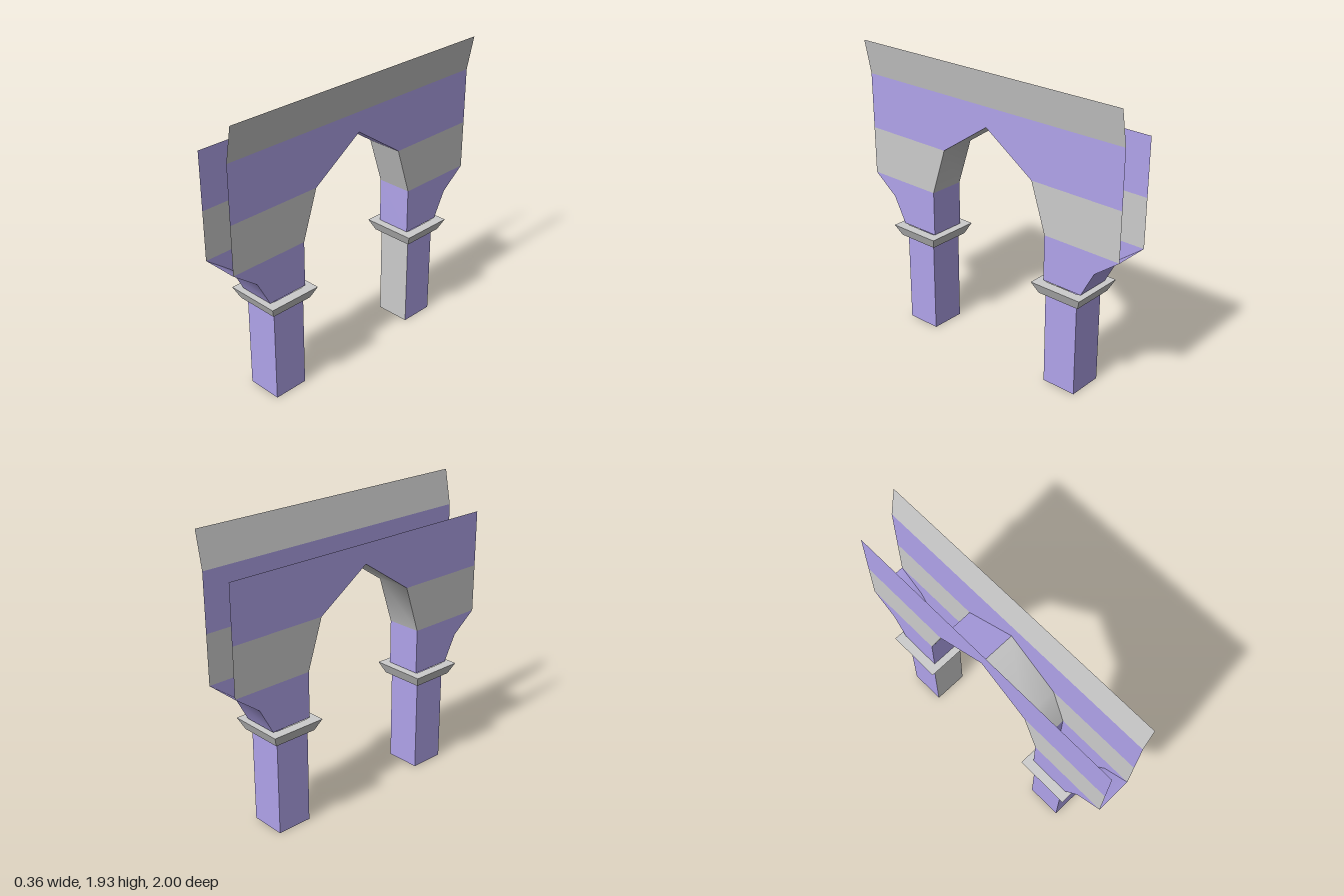
import * as THREE from 'three';

const HALF = 0.12;       // half the thickness of the wall
const PIER_Z = 0.595;    // distance of each column from the middle

const grey = new THREE.MeshStandardMaterial({ color: 0xcccccc, side: THREE.DoubleSide });
const purple = new THREE.MeshStandardMaterial({ color: 0xb0a3ea, side: THREE.DoubleSide });

// Flat panel from [z, y] corners, standing at x = side * HALF and facing outward
function panel(points, side) {
  const shape = new THREE.Shape(points.map(([z, y]) => new THREE.Vector2(side * -z, y)));
  return new THREE.ShapeGeometry(shape).rotateY(side * Math.PI / 2).translate(side * HALF, 0, 0);
}

// Smooth strip across the wall's thickness along [z, y] points
function strip(points) {
  const pos = [], index = [];
  points.forEach(([z, y], i) => {
    pos.push(-HALF, y, z, HALF, y, z);
    const a = 2 * i;
    if (i < points.length - 1) index.push(a, a + 1, a + 2, a + 1, a + 3, a + 2);
  });
  const geo = new THREE.BufferGeometry();
  geo.setAttribute('position', new THREE.Float32BufferAttribute(pos, 3));
  geo.setIndex(index);
  geo.computeVertexNormals();
  return geo;
}

// Square turned form from [half width, y] points
function squareLathe(points) {
  const profile = points.map(([w, y]) => new THREE.Vector2(w * Math.SQRT2, y));
  const geo = new THREE.LatheGeometry(profile, 4, Math.PI / 4).toNonIndexed();
  geo.computeVertexNormals();
  return geo;
}

export function createModel() {
  const model = new THREE.Group();
  model.name = 'archway';
  const add = (name, geo, mat, parent = model) => {
    const mesh = new THREE.Mesh(geo, mat);
    mesh.name = name;
    parent.add(mesh);
    return mesh;
  };

  // Two striped wall faces
  for (const side of [-1, 1]) {
    const wall = new THREE.Group();
    wall.name = side > 0 ? 'leftWall' : 'rightWall';
    model.add(wall);
    add('upperBand', panel([[-1, 1.33], [-0.355, 1.33], [0, 1.57], [0.355, 1.33],
      [1, 1.33], [1, 1.7], [-1, 1.7]], side), purple, wall);
    for (const s of [-1, 1]) {
      add('middleBand', panel([[s * 0.46, 1.01], [s, 1.01], [s, 1.33], [s * 0.355, 1.33]], side), grey, wall);
      add('archFoot', panel([[s * 0.46, 0.71], [s * 0.74, 0.71], [s * 0.83, 0.88],
        [s, 1.01], [s * 0.46, 1.01]], side), purple, wall);
    }
  }

  // Flared parapet on one wall only
  const parapet = new THREE.PlaneGeometry(2, 0.23).rotateY(Math.PI / 2).translate(HALF, 1.815, 0);
  const p = parapet.attributes.position;
  for (let i = 0; i < p.count; i++) if (p.getY(i) > 1.8) p.setX(i, 0.165);
  parapet.computeVertexNormals();
  add('parapet', parapet, grey);

  // Underside of the arch
  add('archLegBack', strip([[-0.46, 0.71], [-0.46, 1.01]]), purple);
  add('archHaunchBack', strip([[-0.46, 1.01], [-0.355, 1.33]]), grey);
  add('archCrownBack', strip([[-0.355, 1.33], [0, 1.57]]), purple);
  add('archCrownFront', strip([[0, 1.57], [0.355, 1.33], [0.46, 1.01]]), grey);
  add('archLegFront', strip([[0.46, 1.01], [0.46, 0.71]]), purple);

  // Curved undersides of the outer ends
  add('outerCurveFront', strip([[0.74, 0.71], [0.83, 0.88], [1, 1.01]]), purple);
  add('outerCurveBack', strip([[-1, 1.01], [-0.83, 0.88], [-0.74, 0.71]]), purple);

  // Hollow columns with splayed capitals
  for (const s of [-1, 1]) {
    const pier = new THREE.Group();
    pier.name = s > 0 ? 'frontPier' : 'backPier';
    pier.position.z = s * PIER_Z;
    model.add(pier);
    for (let i = 0; i < 4; i++) {
      const face = new THREE.PlaneGeometry(0.236, 0.63).translate(0, 0.315, 0.118).rotateY(i * Math.PI / 2);
      add('columnFace', face, s < 0 && i === 0 ? grey : purple, pier);
    }
    add('capital', squareLathe([[0.118, 0.63], [0.147, 0.63], [0.182, 0.705], [0.118, 0.705]]), grey, pier);
  }
  return model;
}
